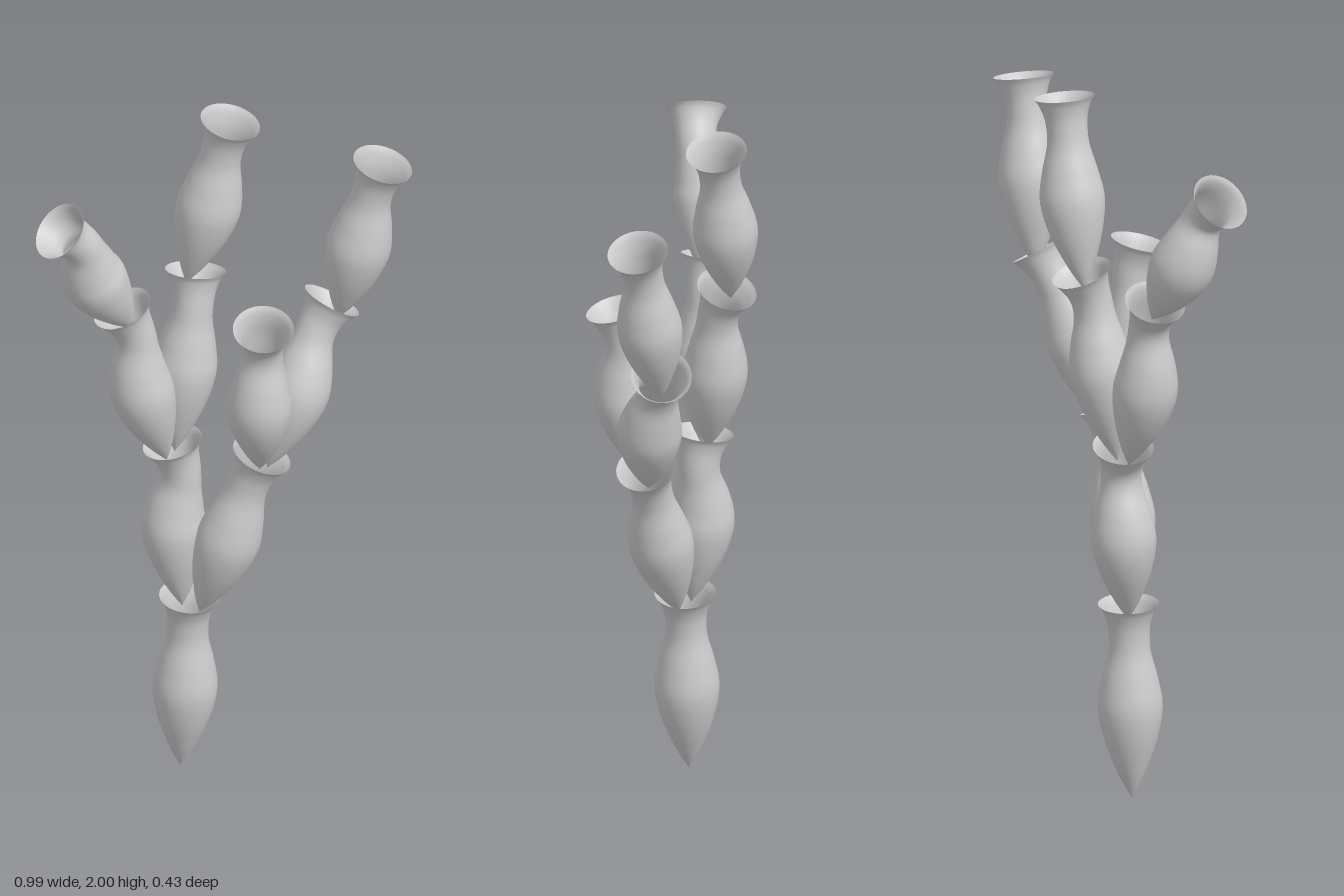
import * as THREE from 'three';
import { mergeVertices } from 'three/addons/utils/BufferGeometryUtils.js';

const material = new THREE.MeshStandardMaterial({ color: 0xcccccc, side: THREE.DoubleSide });
const UP = new THREE.Vector3(0, 1, 0);

// Vase outline: radius against distance along the stem (0 = tip, 1 = mouth)
const outline = new THREE.SplineCurve([
  [0, 0], [0.12, 0.034], [0.3, 0.07], [0.47, 0.086], [0.62, 0.074],
  [0.76, 0.056], [0.88, 0.056], [0.96, 0.068], [1, 0.081],
].map(([u, r]) => new THREE.Vector2(r, u))).getPoints(40);
outline[0].x = 0;

// One open vase, lathed straight and then bent along a curve.
// lean = sideways slope (x, z) of the mouth's axis
function vase(name, tip, belly, mouth, lean) {
  const end = new THREE.Vector3(...mouth);
  const axis = new THREE.Vector3(lean[0], 1, lean[1]).normalize();
  const neck = end.clone().addScaledVector(axis, -0.09);
  const stem = new THREE.CatmullRomCurve3(
    [new THREE.Vector3(...tip), new THREE.Vector3(...belly), neck, end]);

  let geo = new THREE.LatheGeometry(outline, 36);
  const pos = geo.attributes.position;
  const p = new THREE.Vector3();
  const turn = new THREE.Quaternion();
  for (let i = 0; i < pos.count; i++) {
    p.fromBufferAttribute(pos, i);
    const u = THREE.MathUtils.clamp(p.y, 0, 1);
    turn.setFromUnitVectors(UP, stem.getTangentAt(u));
    p.setY(0).applyQuaternion(turn).add(stem.getPointAt(u));
    pos.setXYZ(i, p.x, p.y, p.z);
  }
  // Weld the seam so the shading is smooth all round
  geo.deleteAttribute('uv');
  geo.deleteAttribute('normal');
  geo = mergeVertices(geo, 1e-5);
  geo.computeVertexNormals();
  const mesh = new THREE.Mesh(geo, material);
  mesh.name = name;
  return mesh;
}

export function createModel() {
  const group = new THREE.Group();
  group.name = 'branchingVases';
  // name, tip, belly centre, mouth centre, mouth lean
  const vases = [
    // base
    ['baseVase', [-0.11, 0, 0.013], [-0.097, 0.26, 0.013], [-0.085, 0.547, 0.013], [0.05, 0]],
    // second tier
    ['rightLowerVase', [-0.105, 0.51, 0.005], [-0.127, 0.77, -0.018], [-0.13, 1.02, -0.02], [-0.24, -0.03]],
    ['leftLowerVase', [-0.06, 0.5, 0.02], [0.02, 0.76, 0.037], [0.105, 1.02, 0.038], [0.38, 0]],
    // third tier
    ['rightOuterVase', [-0.145, 0.97, -0.01], [-0.216, 1.24, 0.012], [-0.263, 1.48, 0.018], [-0.41, 0.05]],
    ['rightInnerVase', [-0.125, 0.98, -0.035], [-0.097, 1.25, -0.07], [-0.07, 1.51, -0.115], [0.07, -0.33]],
    ['leftInnerVase', [0.1, 0.98, 0.045], [0.1, 1.23, 0.1], [0.11, 1.488, 0.125], [0.03, 0.27]],
    ['leftOuterVase', [0.12, 0.97, 0.025], [0.205, 1.21, -0.018], [0.29, 1.43, -0.09], [0.55, -0.35]],
    // top tier
    ['rightTopVase', [-0.235, 1.42, 0.02], [-0.34, 1.62, 0.07], [-0.427, 1.815, 0.138], [-0.85, 0.4]],
    ['middleTopVase', [-0.095, 1.47, -0.115], [-0.033, 1.72, -0.127], [0.022, 1.98, -0.127], [0.24, 0]],
    ['leftTopVase', [0.305, 1.37, -0.095], [0.365, 1.63, -0.088], [0.424, 1.875, -0.083], [0.3, 0.02]],
  ];
  for (const v of vases) group.add(vase(...v));
  return group;
}
